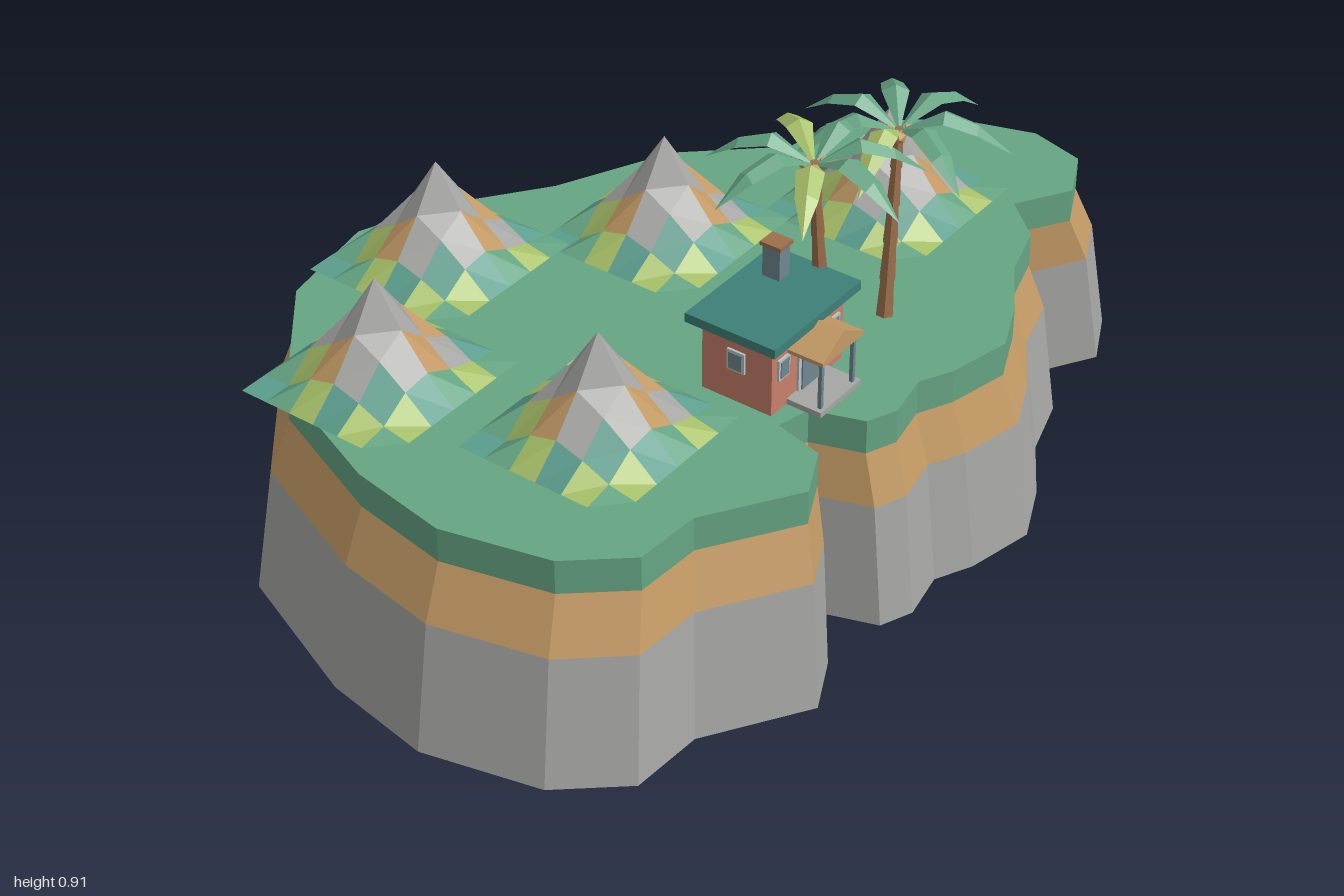
import * as THREE from 'three';

const mat = (name, color, side = THREE.FrontSide) => {
  const m = new THREE.MeshStandardMaterial({ color, flatShading: true, side });
  m.name = name;
  return m;
};
const D = THREE.DoubleSide;
const M = {
  green: mat('grass green', 0x66a584, D),
  tan: mat('sand tan', 0xc59b66, D),
  rock: mat('rock grey', 0xa6a6a4, D),
  teal: mat('meadow teal', 0x5a9c8c, D),
  lime: mat('lime green', 0xa9c26a, D),
  roof: mat('roof teal', 0x3d8078),
  wall: mat('terracotta', 0xc97f6b),
  slate: mat('slate blue', 0x6f8791),
  trunk: mat('bark brown', 0x9c6f4b),
  pale: mat('pale trim', 0xb9c4c2),
};

function add(parent, name, geo, material, x = 0, y = 0, z = 0) {
  const m = new THREE.Mesh(geo, material);
  m.name = name;
  m.position.set(x, y, z);
  parent.add(m);
  return m;
}
const box = (p, name, material, w, h, d, x, y, z) =>
  add(p, name, new THREE.BoxGeometry(w, h, d), material, x, y, z);
function fromPoints(pts) {
  const g = new THREE.BufferGeometry();
  g.setAttribute('position', new THREE.Float32BufferAttribute(pts.flat(), 3));
  g.computeVertexNormals();
  return g;
}
const quad = (a, b, c, d) => [a, b, c, a, c, d];

// Island coastline (x, z) at the foot of the cliff, clockwise from above
const COAST = [
  [-0.29, -0.71], [-0.1, -0.64], [0.13, -0.47], [0.41, -0.34], [0.6, -0.13], [0.75, -0.11],
  [0.94, 0.11], [1, 0.31], [0.96, 0.45], [0.83, 0.51], [0.7, 0.43], [0.61, 0.53],
  [0.47, 0.57], [0.34, 0.65], [0.21, 0.705], [0.06, 0.67], [-0.02, 0.63], [-0.13, 0.65],
  [-0.2, 0.62], [-0.24, 0.5], [-0.32, 0.48], [-0.35, 0.6], [-0.465, 0.655], [-0.67, 0.52],
  [-0.83, 0.51], [-0.94, 0.38], [-1, 0.13], [-0.96, -0.11], [-0.83, -0.43], [-0.55, -0.66],
];
const GROUND = 0.455;

function band(s0, y0, s1, y1) {
  const pts = [];
  COAST.forEach(([x, z], i) => {
    const [u, w] = COAST[(i + 1) % COAST.length];
    pts.push(...quad([x * s0, y0, z * s0], [x * s1, y1, z * s1], [u * s1, y1, w * s1], [u * s0, y0, w * s0]));
  });
  return fromPoints(pts);
}
function cap(s, up) {
  const shape = new THREE.Shape(COAST.map(([x, z]) => new THREE.Vector2(x * s, -up * z * s)));
  return new THREE.ShapeGeometry(shape).rotateX(-up * Math.PI / 2);
}

function island() {
  const g = new THREE.Group();
  g.name = 'island';
  add(g, 'rockCliff', band(1, 0, 0.95, 0.27), M.rock);
  add(g, 'sandLayer', band(0.95, 0.27, 0.9, 0.38), M.tan);
  add(g, 'grassEdge', band(0.9, 0.38, 0.9, GROUND), M.green);
  add(g, 'grassTop', cap(0.9, 1), M.green, 0, GROUND);
  add(g, 'underside', cap(1, -1), M.rock);
  return g;
}

// Mountain patch: a 6 x 6 grid raised by distance from the peak, one colour per cell
const CELLS = ['TGTLGL', 'GLRNLT', 'LNRRNL', 'TRRRNG', 'LTRNRT', 'GLTGLG'];
const CELL_MATS = { T: M.teal, G: M.green, L: M.lime, N: M.tan, R: M.rock };
function mountainGeometries() {
  let seed = 7;
  const rand = () => (seed = (seed * 16807) % 2147483647) / 2147483647;
  const profile = [[0, 0.235], [1, 0.137], [1.42, 0.1], [2, 0.062], [2.83, 0.022], [3, 0.01], [5, 0.01]];
  const height = (r) => {
    const k = Math.max(1, profile.findIndex((p) => p[0] >= r));
    const [a, b] = [profile[k - 1], profile[k]];
    return a[1] + (b[1] - a[1]) * (r - a[0]) / (b[0] - a[0]);
  };
  const grid = [];
  for (let j = -3; j <= 3; j++) {
    const row = [];
    for (let i = -3; i <= 3; i++) {
      const inner = Math.max(Math.abs(i), Math.abs(j)) < 3 && (i || j);
      const jitter = inner ? (rand() - 0.5) * 0.024 : 0;
      row.push([i * 0.0635, height(Math.hypot(i, j)) + jitter, j * 0.06]);
    }
    grid.push(row);
  }
  const lists = {};
  CELLS.forEach((row, j) => [...row].forEach((c, i) => {
    (lists[c] ??= []).push(...quad(grid[j][i], grid[j + 1][i], grid[j + 1][i + 1], grid[j][i + 1]));
  }));
  return Object.entries(lists).map(([c, pts]) => [fromPoints(pts), CELL_MATS[c]]);
}

// House with porch, chimney, door and windows
function house() {
  const g = new THREE.Group();
  g.name = 'house';
  const cx = -0.157;
  box(g, 'walls', M.wall, 0.235, 0.155, 0.16, cx, 0.533, 0.325);
  box(g, 'roof', M.roof, 0.285, 0.02, 0.205, cx, 0.62, 0.325);
  box(g, 'chimney', M.slate, 0.034, 0.075, 0.04, -0.093, 0.662, 0.285);
  box(g, 'chimneyCap', M.trunk, 0.042, 0.008, 0.048, -0.093, 0.703, 0.285);
  box(g, 'porchFloor', M.rock, 0.135, 0.012, 0.08, cx, 0.461, 0.443);
  box(g, 'doorFrame', M.pale, 0.07, 0.112, 0.006, cx, 0.515, 0.407);
  box(g, 'door', M.slate, 0.052, 0.1, 0.008, cx, 0.511, 0.409);
  const gable = new THREE.Shape([[-0.068, 0], [0.068, 0], [0.068, 0.008], [0, 0.046], [-0.068, 0.008]]
    .map((p) => new THREE.Vector2(...p)));
  add(g, 'porchRoof', new THREE.ExtrudeGeometry(gable, { depth: 0.08, bevelEnabled: false }), M.tan, cx, 0.573, 0.405);
  for (const s of [-1, 1]) {
    box(g, 'porchPost', M.slate, 0.008, 0.115, 0.008, cx + s * 0.053, 0.52, 0.472);
    for (const [z, dir] of [[0.405, 1], [0.245, -1]]) {
      const x = cx + s * 0.083;
      box(g, 'windowFrame', M.pale, 0.036, 0.046, 0.006, x, 0.55, z + dir * 0.002);
      box(g, 'windowPane', M.slate, 0.026, 0.036, 0.008, x, 0.55, z + dir * 0.003);
    }
    const x = cx + s * 0.1175;
    box(g, 'windowFrame', M.pale, 0.006, 0.046, 0.04, x + s * 0.002, 0.55, 0.325);
    box(g, 'windowPane', M.slate, 0.008, 0.036, 0.03, x + s * 0.003, 0.55, 0.325);
  }
  return g;
}

// Palm frond: a folded, drooping blade running along +x
function frondGeometry() {
  const spine = [[0.008, 0, 0.004], [0.085, 0.045, 0.027], [0.15, 0.022, 0.022], [0.218, -0.035, 0]];
  const pts = [];
  for (let k = 0; k < spine.length - 1; k++) {
    for (const s of [-1, 1]) {
      const [a, b] = [spine[k], spine[k + 1]];
      const edge = ([x, y, w]) => [x, y - w * 0.5, s * w];
      const q = [[a[0], a[1], 0], edge(a), edge(b), [b[0], b[1], 0]];
      pts.push(...quad(...(s > 0 ? q : q.reverse())));
    }
  }
  return fromPoints(pts);
}

function palm(base, top, startAngle, limeFronds) {
  const g = new THREE.Group();
  g.name = 'palmTree';
  const a = new THREE.Vector3(...base), b = new THREE.Vector3(...top);
  const dir = b.clone().sub(a), n = 5;
  const up = new THREE.Quaternion().setFromUnitVectors(new THREE.Vector3(0, 1, 0), dir.clone().normalize());
  for (let i = 0; i < n; i++) {
    const r = 0.019 - i * 0.0014;
    const seg = add(g, 'trunkSegment', new THREE.CylinderGeometry(r - 0.004, r, dir.length() / n, 6), M.trunk);
    seg.position.copy(a).addScaledVector(dir, (i + 0.5) / n);
    seg.quaternion.copy(up);
  }
  const frond = frondGeometry();
  for (let i = 0; i < 7; i++) {
    const leaf = add(g, 'frond', frond, limeFronds.includes(i) ? M.lime : M.green, ...top);
    leaf.rotation.y = -(startAngle + i * 360 / 7) * Math.PI / 180;
  }
  for (let i = 0; i < 3; i++) {
    const t = i * Math.PI * 2 / 3 + 0.4;
    add(g, 'coconut', new THREE.IcosahedronGeometry(0.014, 0), M.tan,
      top[0] + Math.cos(t) * 0.02, top[1] - 0.008, top[2] + Math.sin(t) * 0.02);
  }
  return g;
}

export function createModel() {
  const model = new THREE.Group();
  model.name = 'tropicalIsland';
  model.add(island());
  const parts = mountainGeometries();
  for (const [x, z] of [[-0.63, -0.25], [-0.25, -0.425], [0.095, -0.12], [-0.52, 0.19], [0.46, 0.18]]) {
    const mountain = new THREE.Group();
    mountain.name = 'mountain';
    mountain.position.set(x, GROUND + 0.008, z);
    parts.forEach(([geo, m]) => add(mountain, 'mountainSlope', geo, m));
    model.add(mountain);
  }
  model.add(house());
  model.add(palm([0, GROUND, 0.335], [-0.032, 0.865, 0.325], -106, [1, 5]));
  model.add(palm([0.135, GROUND, 0.39], [0.165, 0.865, 0.385], -90, [5]));
  return model;
}
